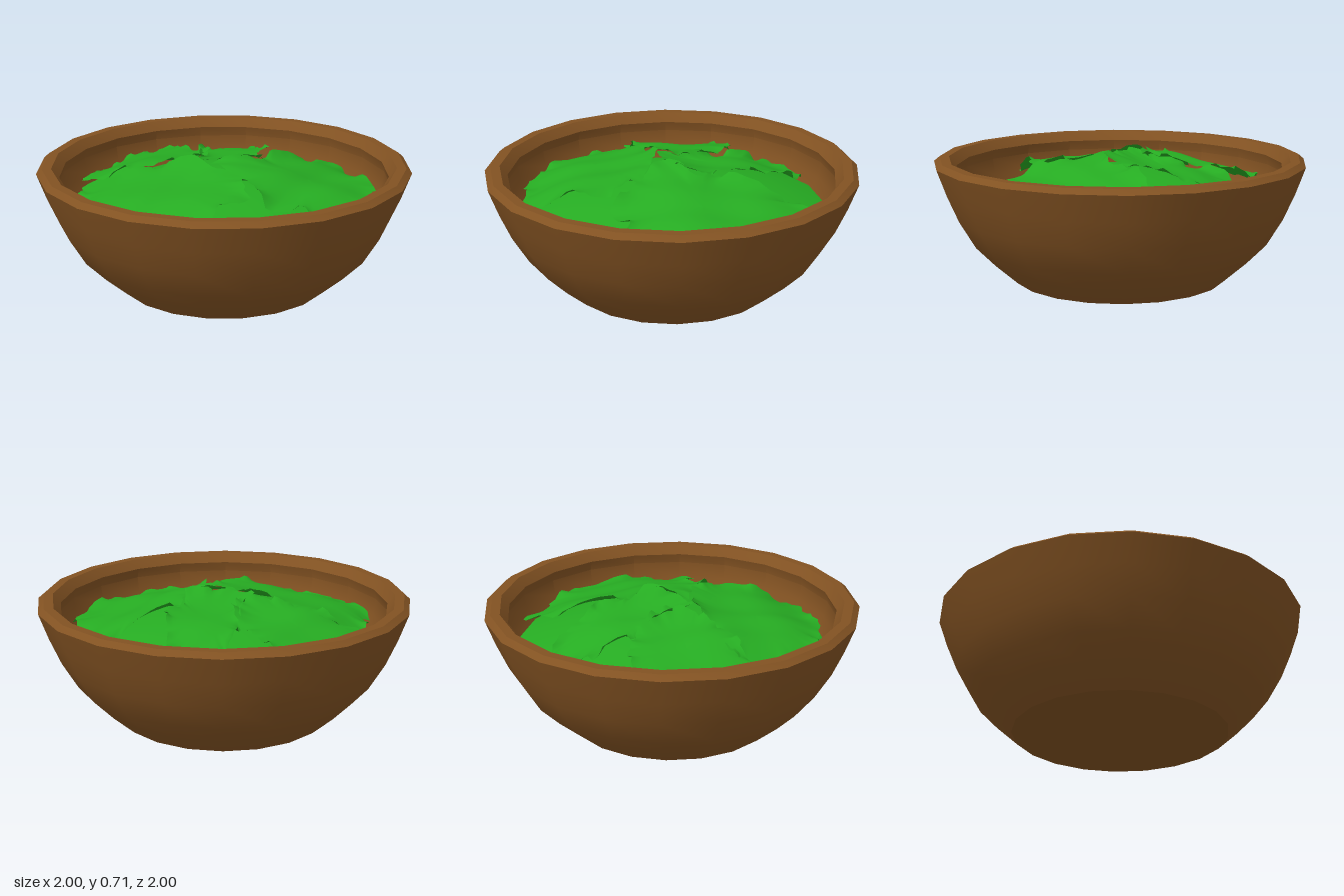
import * as THREE from 'three';
import { toCreasedNormals } from 'three/addons/utils/BufferGeometryUtils.js';

const SIDES = 20;
const wood = new THREE.MeshStandardMaterial({ color: 0x825222 });
const green = new THREE.MeshStandardMaterial({ color: 0x26ac22 });
const leafGreen = green.clone();
leafGreen.side = THREE.DoubleSide;

const points = (list) => list.map(([x, y]) => new THREE.Vector2(x, y));

// Height of the salad mound at a distance from the middle
const mound = (r) => 0.6 - 0.17 * Math.pow(r / 0.82, 2);

// Gentle folds shared by all leaves
const folds = (x, z) =>
  0.009 * Math.sin(9 * x + 4 * z) + 0.008 * Math.sin(12 * z - 6 * x + 1) + 0.005 * Math.sin(19 * x + 15 * z);

// Seeded value from -1 to 1
const jag = (n, seed) => {
  const v = Math.sin(n * 12.99 + seed * 78.2) * 43758.5;
  return (v - Math.floor(v)) * 2 - 1;
};

// A ragged leaf: rings grow from the middle to a torn outline, draped on the mound
function makeLeaf(name, outline, lift, seed) {
  const around = 80, rings = 10;
  const curve = new THREE.CatmullRomCurve3(outline.map(([x, z]) => new THREE.Vector3(x, 0, z)), true);
  const rim = curve.getSpacedPoints(around).slice(0, around);
  const mid = rim.reduce((sum, p) => sum.add(p), new THREE.Vector3()).divideScalar(around);
  const pos = [], index = [];
  for (let i = 0; i <= rings; i++) {
    const t = i / rings, edge = Math.pow(t, 8);
    for (let j = 0; j < around; j++) {
      const a = (j / around) * Math.PI * 2;
      const grow = t * (1 + edge * (0.06 * jag(Math.floor(j / 4), seed) + 0.025 * jag(j, seed + 1)));
      let x = mid.x + (rim[j].x - mid.x) * grow;
      let z = mid.z + (rim[j].z - mid.z) * grow;
      const fit = Math.min(1, 0.83 / Math.hypot(x, z));
      x *= fit;
      z *= fit;
      const r = Math.hypot(x, z);
      // Edges that meet in the middle curl up into a crest
      const crest = 0.028 * Math.pow(t, 3) * Math.exp(-Math.pow(r / 0.3, 2));
      const ruffle = edge * (0.008 + 0.01 * Math.sin(7 * a + seed) + 0.02 * jag(Math.floor(j / 2), seed + 2));
      pos.push(x, mound(r) + lift + folds(x, z) + crest + ruffle, z);
    }
  }
  for (let i = 0; i < rings; i++) {
    for (let j = 0; j < around; j++) {
      const k = (j + 1) % around;
      const a = i * around + j, b = i * around + k;
      index.push(a, a + around, b, b, a + around, b + around);
    }
  }
  const geometry = new THREE.BufferGeometry();
  geometry.setAttribute('position', new THREE.Float32BufferAttribute(pos, 3));
  geometry.setIndex(index);
  geometry.computeVertexNormals();
  const leaf = new THREE.Mesh(geometry, leafGreen);
  leaf.name = name;
  return leaf;
}

// Mound under the leaves, drawn in a little at the back left corner
function makeMound() {
  const profile = [0.83, 0.7, 0.56, 0.42, 0.28, 0.14, 0].map((r) => new THREE.Vector2(r, mound(r)));
  const geometry = new THREE.LatheGeometry(profile, SIDES);
  const pos = geometry.attributes.position;
  for (let i = 0; i < pos.count; i++) {
    const x = pos.getX(i), z = pos.getZ(i), r = Math.hypot(x, z);
    const toCorner = r > 0.01 ? Math.max(0, (-0.8 * x - 0.6 * z) / r) : 0;
    const shrink = 1 - 0.1 * Math.pow(toCorner, 4);
    pos.setXYZ(i, x * shrink, pos.getY(i), z * shrink);
  }
  const dome = new THREE.Mesh(geometry, green);
  dome.name = 'saladMound';
  return dome;
}

export function createModel() {
  const model = new THREE.Group();
  model.name = 'saladBowl';

  // Turned wooden bowl: outside, bevelled rim, undercut inside
  const profile = points([
    [0, 0], [0.58, 0], [0.7, 0.107], [0.805, 0.215], [0.89, 0.36], [0.95, 0.5], [1, 0.64],
    [0.97, 0.665], [0.92, 0.665], [0.88, 0.615],
    [0.895, 0.56], [0.88, 0.47], [0.82, 0.35], [0.72, 0.23], [0.54, 0.1], [0, 0.09],
  ]);
  const bowl = new THREE.Mesh(toCreasedNormals(new THREE.LatheGeometry(profile, SIDES), 0.5), wood);
  bowl.name = 'bowl';
  model.add(bowl, makeMound());

  // Overlapping leaves; outlines run counter-clockwise seen from above
  const leaves = new THREE.Group();
  leaves.name = 'leaves';
  leaves.add(
    makeLeaf('backLeaf', [[0.15, -0.76], [0.03, -0.67], [-0.08, -0.45], [-0.1, -0.15], [-0.16, -0.04],
      [-0.02, 0.02], [0.2, 0.02], [0.22, -0.14], [0.3, -0.3], [0.27, -0.5], [0.23, -0.73]], 0.05, 1),
    makeLeaf('backLeftLeaf', [[-0.5, -0.68], [-0.64, -0.5], [-0.73, -0.25], [-0.55, -0.13], [-0.3, -0.08],
      [-0.07, -0.1], [-0.06, -0.25], [-0.14, -0.48], [-0.28, -0.66]], 0.06, 3.1),
    makeLeaf('frontLeftLeaf', [[-0.7, -0.24], [-0.8, 0.12], [-0.7, 0.38], [-0.55, 0.59], [-0.33, 0.67],
      [-0.02, 0.53], [0.08, 0.36], [-0.06, 0.12], [-0.16, -0.02], [-0.38, -0.12]], 0.05, 4.4),
    makeLeaf('rightLeaf', [[0.2, 0], [-0.06, 0.05], [0.07, 0.28], [0.1, 0.46], [0.32, 0.55], [0.38, 0.66],
      [0.52, 0.67], [0.69, 0.47], [0.78, 0.2], [0.79, -0.05], [0.7, -0.4], [0.42, -0.25], [0.23, -0.12]], 0.045, 5.2),
  );
  model.add(leaves);
  return model;
}
